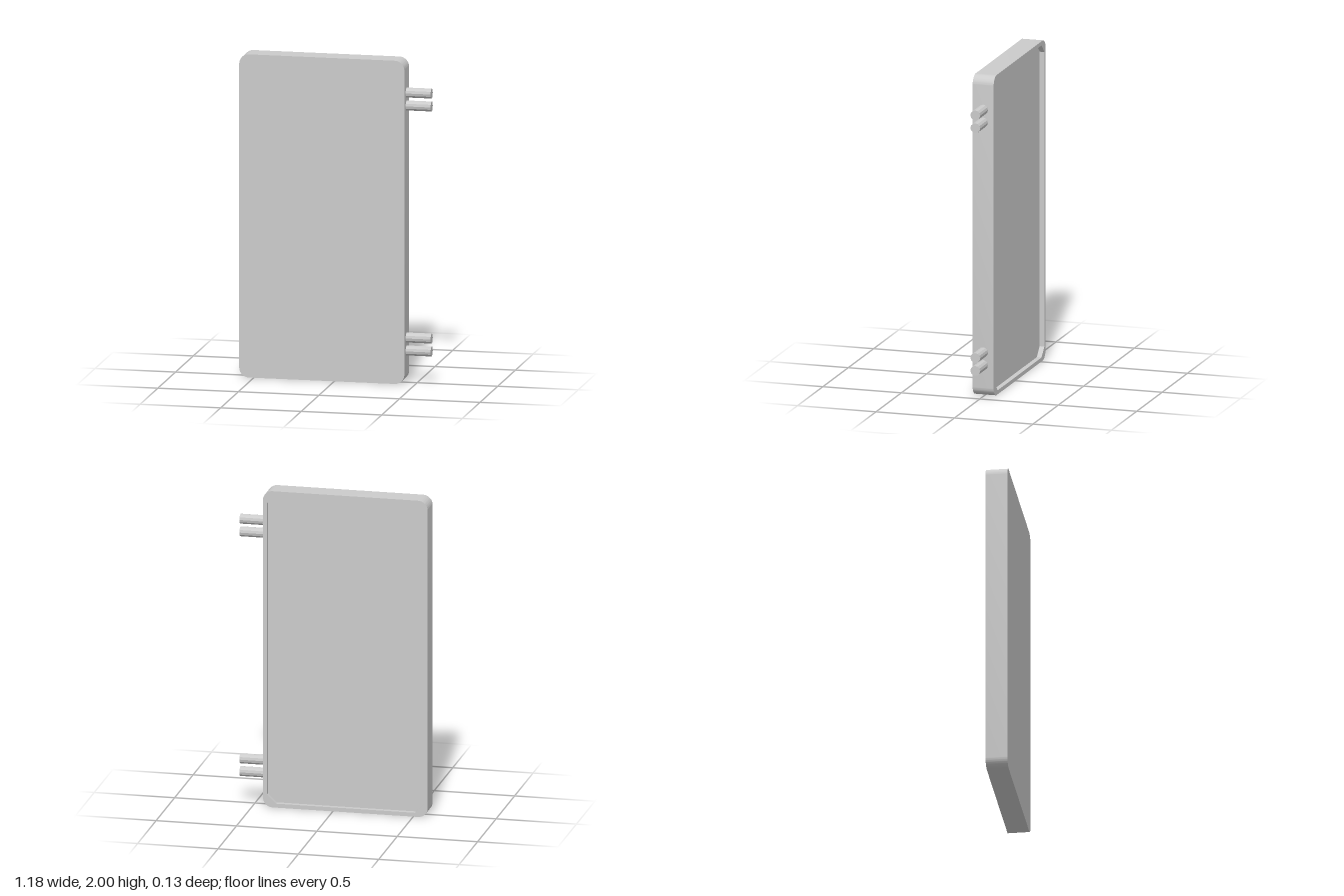
import * as THREE from 'three';
import { mergeGeometries, toCreasedNormals } from 'three/addons/utils/BufferGeometryUtils.js';

const LEFT = -0.59, RIGHT = 0.435, HEIGHT = 2;
const FRONT = 0.067, BACK = -0.067, FLOOR = -0.037;
const CORNER = 0.06, RIM = 0.025, CHAMFER = 0.055;

// Rounded outline of the panel, counter-clockwise
function panelOutline() {
  const s = new THREE.Shape(), r = CORNER;
  s.absarc(RIGHT - r, r, r, -Math.PI / 2, 0);
  s.absarc(RIGHT - r, HEIGHT - r, r, 0, Math.PI / 2);
  s.absarc(LEFT + r, HEIGHT - r, r, Math.PI / 2, Math.PI);
  s.absarc(LEFT + r, r, r, Math.PI, Math.PI * 1.5);
  return s.getPoints(8);
}

// Chamfered outline of the rear recess, counter-clockwise
function recessOutline() {
  const x0 = LEFT + RIM, x1 = RIGHT - RIM, y0 = RIM, y1 = HEIGHT - RIM, c = CHAMFER;
  return [
    [x0 + c, y0], [x1 - c, y0], [x1, y0 + c], [x1, y1 - c],
    [x1 - c, y1], [x0 + c, y1], [x0, y1 - c], [x0, y0 + c],
  ].map(([x, y]) => new THREE.Vector2(x, y));
}

// Flat face at depth z, facing +z or -z
function cap(points, z, facesBack, hole) {
  const shape = new THREE.Shape(points);
  if (hole) shape.holes.push(new THREE.Path(hole));
  const g = new THREE.ShapeGeometry(shape);
  g.translate(0, 0, z);
  if (facesBack) g.index.array.reverse();
  g.deleteAttribute('uv');
  return g;
}

// Wall along a closed outline; counter-clockwise points face outward
function wall(points, z0, z1) {
  const pos = [];
  points.forEach((a, i) => {
    const b = points[(i + 1) % points.length];
    if (a.distanceTo(b) < 1e-6) return;
    pos.push(a.x, a.y, z0, b.x, b.y, z0, b.x, b.y, z1);
    pos.push(a.x, a.y, z0, b.x, b.y, z1, a.x, a.y, z1);
  });
  const g = new THREE.BufferGeometry();
  g.setAttribute('position', new THREE.Float32BufferAttribute(pos, 3));
  return g;
}

function finish(parts) {
  const flat = parts.map((p) => {
    const g = p.index ? p.toNonIndexed() : p;
    g.deleteAttribute('normal');
    return g;
  });
  return toCreasedNormals(mergeGeometries(flat), Math.PI / 6);
}

export function createModel() {
  const model = new THREE.Group();
  model.name = 'panelWithPipes';
  const material = new THREE.MeshStandardMaterial({ color: 0xcccccc });
  const add = (geometry, name) => {
    const mesh = new THREE.Mesh(geometry, material);
    mesh.name = name;
    model.add(mesh);
    return mesh;
  };

  // Panel body with a raised rim at the back
  const outer = panelOutline(), inner = recessOutline();
  add(finish([
    cap(outer, FRONT, false),
    wall(outer, BACK, FRONT),
    cap(outer, BACK, true, inner),
  ]), 'panelShell');

  // Shallow rear recess
  add(finish([
    wall([...inner].reverse(), BACK, FLOOR),
    cap(inner, FLOOR, true),
  ]), 'rearRecess');

  // Two pairs of pipe stubs on the left side
  const length = 0.59 - RIGHT;
  const pipe = new THREE.CylinderGeometry(0.031, 0.031, length, 12);
  pipe.rotateZ(-Math.PI / 2);
  const pipeGeometry = toCreasedNormals(pipe, Math.PI / 12);
  [['upper', 1.753], ['lower', 0.237]].forEach(([level, y]) => {
    [['Top', 0.04], ['Bottom', -0.04]].forEach(([place, dy]) => {
      add(pipeGeometry, `${level}Pipe${place}`).position.set(RIGHT + length / 2, y + dy, 0);
    });
  });

  return model;
}
